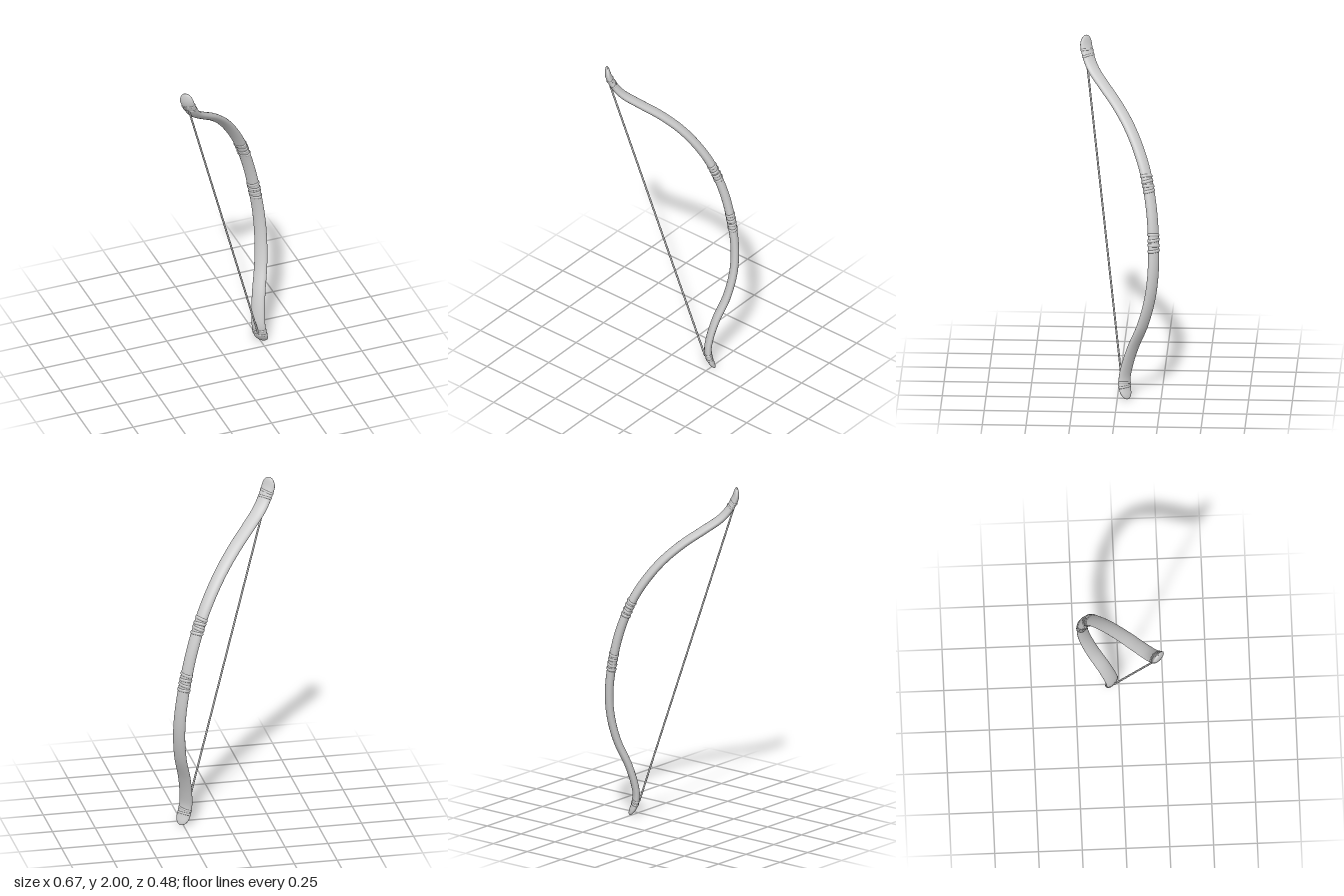
import * as THREE from 'three';

// Unit normal of the slanted plane in which the bow bends; limbs are widest along it
const N = new THREE.Vector3(0.984, 0.155, 1).normalize();
const onPlane = (x, y) => new THREE.Vector3(x, y, 0.205 - 0.984 * x - 0.155 * y);

// Centre line from upper tip to lower tip
const spine = new THREE.CatmullRomCurve3([
  [-0.312, 2.0], [-0.302, 1.94], [-0.272, 1.87], [-0.235, 1.815], [-0.16, 1.745], [-0.07, 1.665],
  [0.02, 1.565], [0.097, 1.45], [0.163, 1.32], [0.228, 1.13], [0.271, 0.94],
  [0.296, 0.77], [0.301, 0.62], [0.285, 0.46], [0.25, 0.31], [0.234, 0.2],
  [0.231, 0.12], [0.243, 0.06], [0.268, 0.004],
].map(([x, y]) => onPlane(x, y)), false, 'centripetal');
spine.arcLengthDivisions = 600;
const LENGTH = spine.getLength();

const dome = (d, l) => (d >= l ? 1 : Math.sqrt(Math.max(0.0004, 1 - (1 - d / l) ** 2)));

// Centre, thickness direction and half sizes of the limb at arc fraction u
function section(u) {
  const c = spine.getPointAt(u), T = spine.getTangentAt(u);
  const B = new THREE.Vector3().crossVectors(T, N).normalize();
  const d = Math.min(u, 1 - u) * LENGTH;
  const k = Math.min(1, Math.abs(u - 0.5) * 2);
  const w = (0.035 + 0.008 * k) * dome(d, 0.06);
  const t = (0.026 - 0.006 * k) * dome(d, 0.1);
  return { c, T, B, w, t };
}

// Arc fraction at which the centre line has height y
function fractionAt(y) {
  let a = 0, b = 1;
  for (let i = 0; i < 30; i++) {
    const m = (a + b) / 2;
    if (spine.getPointAt(m).y > y) a = m; else b = m;
  }
  return a;
}

// Limb: elliptical cross-sections swept along the centre line
function limbGeometry(rows = 140, sides = 28) {
  const pos = [], idx = [];
  for (let i = 0; i <= rows; i++) {
    const { c, B, w, t } = section(0.5 - 0.5 * Math.cos(Math.PI * i / rows));
    for (let j = 0; j < sides; j++) {
      const a = j / sides * Math.PI * 2;
      const p = c.clone().addScaledVector(N, Math.cos(a) * w).addScaledVector(B, Math.sin(a) * t);
      pos.push(p.x, p.y, p.z);
      if (i === rows) continue;
      const k = (j + 1) % sides, r = i * sides, s = r + sides;
      idx.push(r + j, r + k, s + k, r + j, s + k, s + j);
    }
  }
  const g = new THREE.BufferGeometry();
  g.setAttribute('position', new THREE.Float32BufferAttribute(pos, 3));
  g.setIndex(idx);
  g.computeVertexNormals();
  return g;
}

// One turn of cord sunk into the limb, slightly tilted, so only a low ridge shows
function cordTurn(y, radius, tilt) {
  const { c, T, B, w, t } = section(fractionAt(y));
  const sunk = radius * 0.68;
  const pts = [];
  for (let j = 0; j < 20; j++) {
    const a = j / 20 * Math.PI * 2;
    pts.push(c.clone().addScaledVector(N, Math.cos(a) * (w - sunk))
      .addScaledVector(B, Math.sin(a) * (t - sunk))
      .addScaledVector(T, Math.cos(a) * tilt));
  }
  return new THREE.TubeGeometry(new THREE.CatmullRomCurve3(pts, true), 40, radius, 10, true);
}

export function createModel() {
  const group = new THREE.Group();
  group.name = 'bow';
  const material = new THREE.MeshStandardMaterial({ color: 0xcccccc });
  const add = (name, geometry, parent = group) => {
    const mesh = new THREE.Mesh(geometry, material);
    mesh.name = name;
    parent.add(mesh);
    return mesh;
  };

  add('limbs', limbGeometry());

  // Cord bindings above and below the grip and at both tips: [name, top, bottom, turns, radius]
  for (const [name, top, bottom, turns, radius] of [
    ['upperGripBinding', 1.315, 1.235, 4, 0.012],
    ['lowerGripBinding', 0.995, 0.905, 4, 0.012],
    ['upperTipBinding', 1.915, 1.885, 2, 0.008],
    ['lowerTipBinding', 0.095, 0.07, 2, 0.008],
  ]) {
    const binding = new THREE.Group();
    binding.name = name;
    for (let i = 0; i < turns; i++) {
      const y = top + (bottom - top) * i / (turns - 1);
      add('cordTurn', cordTurn(y, radius, i % 2 ? 0.003 : -0.003), binding);
    }
    group.add(binding);
  }

  // Bowstring
  const from = onPlane(-0.289, 1.87), to = onPlane(0.221, 0.085);
  const string = add('bowstring', new THREE.CylinderGeometry(0.0055, 0.0055, from.distanceTo(to), 10));
  string.position.copy(from).add(to).multiplyScalar(0.5);
  string.quaternion.setFromUnitVectors(new THREE.Vector3(0, 1, 0), from.clone().sub(to).normalize());

  return group;
}
